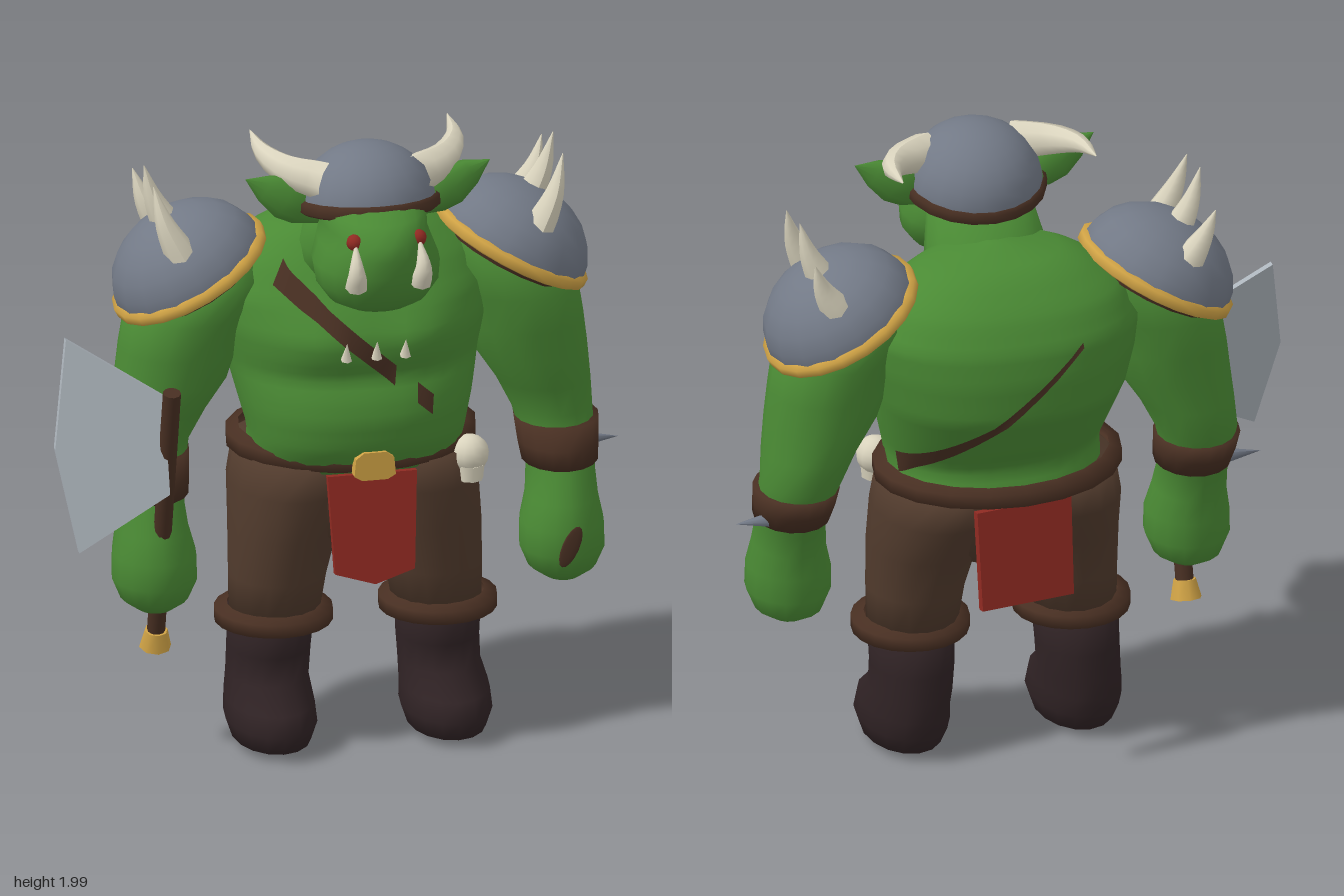
import * as THREE from 'three';

const MID = 0.07; // x of the body's mirror line
const mat = (name, color, side = THREE.FrontSide) => {
  const m = new THREE.MeshStandardMaterial({ color, side });
  m.name = name;
  return m;
};
const M = {
  skin: mat('green skin', 0x4a8a34),
  pants: mat('brown cloth', 0x503a2c),
  boots: mat('dark boot leather', 0x2f2224),
  leather: mat('strap leather', 0x482f22, THREE.DoubleSide),
  steel: mat('armour steel', 0x727986, THREE.DoubleSide),
  blade: mat('blade steel', 0xacb4bb),
  gold: mat('gold', 0xcfa245),
  red: mat('red cloth', 0x902a22),
  bone: mat('bone', 0xd9d3bd),
};

// Torso rings: y, half width, front z, back z
const TORSO = [
  [0.93, 0.33, 0.17, -0.33], [1.02, 0.335, 0.225, -0.3], [1.12, 0.36, 0.24, -0.37],
  [1.25, 0.39, 0.215, -0.45], [1.38, 0.42, 0.205, -0.46], [1.48, 0.43, 0.16, -0.45],
  [1.58, 0.38, 0.10, -0.40], [1.66, 0.27, 0.04, -0.32], [1.70, 0.17, 0, -0.25], [1.72, 0.03, -0.1, -0.14],
];

// Point on the torso, with chest and belly muscles
function torsoPoint(a, y, grow = 0) {
  let i = 0;
  while (i < TORSO.length - 2 && y > TORSO[i + 1][0]) i++;
  const A = TORSO[i], B = TORSO[i + 1];
  const t = THREE.MathUtils.clamp((y - A[0]) / (B[0] - A[0]), 0, 1);
  const [hw, f, b] = [1, 2, 3].map((k) => A[k] + (B[k] - A[k]) * t);
  const c = Math.cos(a), s = Math.sin(a);
  const x = (hw + grow) * Math.sign(s) * Math.abs(s) ** 0.88;
  let z = (f + b) / 2 + ((f - b) / 2 + grow) * Math.sign(c) * Math.abs(c) ** 0.88;
  if (c > 0) {
    const pec = Math.exp(-(((Math.abs(x) - 0.15) / 0.12) ** 2) - ((y - 1.39) / 0.1) ** 2);
    const fold = Math.exp(-(((y - 1.25) / 0.04) ** 2));
    z += c * (0.035 * pec - 0.018 * fold);
  }
  return [MID + x, y, z];
}

// Smooth closed skin over rows of points that run upwards
function skinRows(rows) {
  const n = rows[0].length, pos = rows.flat(2), idx = [];
  for (let i = 0; i < rows.length - 1; i++)
    for (let j = 0; j < n; j++) {
      const k = (j + 1) % n, a = i * n + j, b = i * n + k;
      idx.push(a, b, b + n, a, b + n, a + n);
    }
  [rows[0], rows[rows.length - 1]].forEach((r, e) => {
    const c = pos.length / 3, o = e * (rows.length - 1) * n;
    pos.push(...[0, 1, 2].map((q) => r.reduce((s, p) => s + p[q], 0) / n));
    for (let j = 0; j < n; j++) {
      const k = (j + 1) % n;
      idx.push(c, e ? o + j : o + k, e ? o + k : o + j);
    }
  });
  return surface(pos, idx);
}

function surface(pos, idx) {
  const g = new THREE.BufferGeometry();
  g.setAttribute('position', new THREE.Float32BufferAttribute(pos, 3));
  g.setIndex(idx);
  g.computeVertexNormals();
  return g;
}

// Loft over elliptical rings: y, offset from MID, half width, front z, back z
const loft = (rings, s = 1, n = 16) => skinRows(rings.map(([y, dx, rx, f, b]) =>
  Array.from({ length: n }, (_, j) => {
    const a = (j / n) * Math.PI * 2;
    return [MID + s * dx + rx * Math.sin(a), y, (f + b) / 2 + ((f - b) / 2) * Math.cos(a)];
  })));

// Piece of the diagonal chest strap, hugging the torso between two angles
function strapPiece(a0, a1, w0, w1) {
  const pos = [], idx = [], n = 16;
  for (let j = 0; j <= n; j++) {
    const t = j / n, a = a0 + (a1 - a0) * t, w = w0 + (w1 - w0) * t;
    let y = 1.4;
    for (let k = 0; k < 30; k++) y += 0.4 * (THREE.MathUtils.clamp(1.39 - 0.93 * torsoPoint(a, y)[0], 1, 1.64) - y);
    pos.push(...torsoPoint(a, y - w, 0.012), ...torsoPoint(a, y + w, 0.012));
    if (j < n) idx.push(2 * j, 2 * j + 2, 2 * j + 3, 2 * j, 2 * j + 3, 2 * j + 1);
  }
  return surface(pos, idx);
}

// Curved spike that tapers to a point
function horn(points, r) {
  const curve = new THREE.CatmullRomCurve3(points.map((p) => new THREE.Vector3(...p)));
  const n = 8, sides = 8, g = new THREE.TubeGeometry(curve, n, r, sides);
  const p = g.attributes.position, v = new THREE.Vector3();
  for (let i = 0; i < p.count; i++) {
    const t = Math.floor(i / (sides + 1)) / n, c = curve.getPointAt(t);
    v.fromBufferAttribute(p, i).sub(c).multiplyScalar(1 - 0.98 * t ** 1.3).add(c);
    p.setXYZ(i, v.x, v.y, v.z);
  }
  g.computeVertexNormals();
  return g;
}

function plate(points, depth) {
  const shape = new THREE.Shape(points.map((p) => new THREE.Vector2(...p)));
  return new THREE.ExtrudeGeometry(shape, { depth, bevelEnabled: false }).translate(0, 0, -depth / 2);
}

const lathe = (points, n) => new THREE.LatheGeometry(points.map((p) => new THREE.Vector2(...p)), n);
const band = (w, h, t) => lathe([[w - t, -h], [w, -h * 0.6], [w, h * 0.6], [w - t, h]], 20);

export function createModel() {
  const root = new THREE.Group();
  root.name = 'armouredBrute';
  const add = (name, geo, m, pos = [0, 0, 0], rot = [0, 0, 0], parent = root) => {
    const mesh = new THREE.Mesh(geo, m);
    mesh.name = name;
    mesh.position.set(...pos);
    mesh.rotation.set(...rot);
    parent.add(mesh);
  };
  const group = (name, pos, rx, rz) => {
    const g = new THREE.Group();
    g.name = name;
    g.position.set(...pos);
    g.rotation.set(rx, 0, rz);
    root.add(g);
    return g;
  };
  const O = [0, 0, 0];

  // Torso, neck and head
  const rows = [];
  for (let y = 0.93; y < 1.721; y += 0.0263)
    rows.push(Array.from({ length: 32 }, (_, j) => torsoPoint((j / 32) * Math.PI * 2, y)));
  add('torso', skinRows(rows), M.skin);
  add('neck', loft([[1.5, 0, 0.22, 0.13, -0.25], [1.64, 0, 0.19, 0.2, -0.2], [1.78, 0, 0.16, 0.22, -0.06]]), M.skin);
  add('head', loft([
    [1.53, 0, 0.09, 0.35, 0.22], [1.555, 0, 0.15, 0.39, 0.14], [1.61, 0, 0.19, 0.435, 0.07], [1.67, 0, 0.197, 0.45, 0.02],
    [1.73, 0, 0.175, 0.46, -0.02], [1.78, 0, 0.158, 0.455, -0.04], [1.83, 0, 0.165, 0.41, -0.05], [1.88, 0, 0.14, 0.28, -0.03],
  ], 1, 20), M.skin);

  // Helmet
  const helmet = group('helmet', [MID, 1.81, 0.125], -0.17, 0);
  add('helmetDome', new THREE.SphereGeometry(0.212, 18, 8, 0, Math.PI * 2, 0, Math.PI / 2).scale(1, 0.89, 1), M.steel, O, O, helmet);
  add('helmetBand', band(0.224, 0.022, 0.012), M.leather, O, O, helmet);

  // Trousers, belt and buckle
  add('pelvis', loft([[0.63, 0, 0.12, 0.04, -0.16], [0.7, 0, 0.27, 0.11, -0.24], [0.82, 0, 0.35, 0.15, -0.33], [0.96, 0, 0.36, 0.17, -0.35]], 1, 20), M.pants);
  add('belt', band(1, 0.036, 0.1).scale(0.39, 1, 0.31), M.leather, [MID, 0.968, -0.11]);
  add('buckle', plate([[-0.065, -0.03], [-0.04, -0.045], [0.04, -0.045], [0.065, -0.03], [0.06, 0.025], [0.035, 0.045], [-0.035, 0.045], [-0.06, 0.025]], 0.04), M.gold, [MID, 0.975, 0.212]);

  // Hanging cloths
  add('frontCloth', plate([[-0.14, 0], [-0.125, -0.31], [0, -0.35], [0.125, -0.31], [0.14, 0]], 0.026), M.red, [MID, 0.935, 0.18], [-0.13, 0, 0]);
  add('backCloth', plate([[-0.16, 0], [-0.155, -0.32], [0.155, -0.32], [0.16, 0]], 0.026), M.red, [MID, 0.935, -0.372], [0.13, 0.15, 0]);

  // Skull charm on the belt
  add('skullCharm', new THREE.SphereGeometry(0.06, 12, 10), M.bone, [0.4, 0.935, 0.085]);
  add('skullJaw', new THREE.CylinderGeometry(0.045, 0.04, 0.05, 8), M.bone, [0.4, 0.88, 0.095]);

  // Chest strap, sinking into the body between its visible pieces
  add('chestStrap', strapPiece(-0.72, 0.13, 0.035, 0.035), M.leather);
  add('chestStrapEnd', strapPiece(0.31, 0.46, 0.03, 0.03), M.leather);
  add('backStrap', strapPiece(1.9, 3.5, 0.038, 0.008), M.leather);
  for (const x of [-0.02, 0.075, 0.165])
    add('toothCharm', new THREE.ConeGeometry(0.018, 0.06, 6), M.bone, [x, 1.36, 0.235], [0.2, 0, 0]);

  for (const s of [1, -1]) {
    const side = s > 0 ? 'left' : 'right';
    const X = (dx) => MID + s * dx;

    // Legs
    add(side + 'Leg', loft([[0.42, 0.255, 0.14, 0.1, -0.2], [0.55, 0.245, 0.152, 0.11, -0.21], [0.7, 0.225, 0.17, 0.14, -0.26], [0.84, 0.2, 0.19, 0.155, -0.335], [0.95, 0.18, 0.19, 0.16, -0.35]], s), M.pants);
    add(side + 'BootCuff', band(0.183, 0.034, 0.04), M.leather, [X(0.258), 0.417, -0.043]);
    add(side + 'Boot', loft([
      [0.005, 0.275, 0.07, 0.1, -0.13], [0.03, 0.275, 0.12, 0.18, -0.19], [0.09, 0.275, 0.14, 0.205, -0.225], [0.15, 0.275, 0.136, 0.18, -0.235],
      [0.21, 0.27, 0.127, 0.075, -0.235], [0.3, 0.265, 0.129, 0.07, -0.232], [0.43, 0.262, 0.133, 0.1, -0.22],
    ], s), M.boots);

    // Arm and hand
    add(side + 'Arm', loft([
      [0.48, 0.64, 0.055, 0.06, -0.07], [0.515, 0.64, 0.105, 0.11, -0.13], [0.58, 0.64, 0.132, 0.14, -0.155], [0.66, 0.64, 0.13, 0.135, -0.155],
      [0.74, 0.643, 0.112, 0.115, -0.165], [0.82, 0.645, 0.106, 0.08, -0.18], [0.92, 0.643, 0.116, 0.04, -0.22], [1.0, 0.634, 0.126, 0.015, -0.265],
      [1.1, 0.605, 0.147, 0.045, -0.275], [1.2, 0.567, 0.175, 0.065, -0.28], [1.3, 0.545, 0.185, 0.075, -0.29], [1.42, 0.52, 0.19, 0.095, -0.3],
      [1.53, 0.44, 0.17, 0.07, -0.29], [1.62, 0.37, 0.08, -0.03, -0.2],
    ], s), M.skin);
    add(side + 'Bracer', loft([[0.845, 0.643, 0.118, 0.085, -0.195], [0.9, 0.643, 0.126, 0.065, -0.225], [0.968, 0.643, 0.132, 0.045, -0.255]], s), M.leather);
    add(side + 'BracerSpike', new THREE.ConeGeometry(0.024, 0.11, 8), M.steel, [X(0.788), 0.868, -0.12], [0, 0, -s * Math.PI / 2]);

    // Shoulder armour
    const pad = group(side + 'ShoulderArmour', [X(0.505), 1.535, -0.12], 0, -s * 0.507);
    add('shoulderDome', new THREE.SphereGeometry(0.25, 16, 6, 0, Math.PI * 2, 0, Math.PI / 2).scale(1, 0.8, 1), M.steel, O, O, pad);
    add('shoulderRim', band(0.262, 0.022, 0.02), M.gold, O, O, pad);
    add('shoulderLining', new THREE.CylinderGeometry(0.235, 0.215, 0.035, 16, 1, true), M.leather, [0, -0.02, 0], O, pad);
    for (const [y, z, tz, ty] of [[1.645, 0.03, -0.005, 1.86], [1.67, -0.14, -0.14, 1.88], [1.64, -0.27, -0.3, 1.81]])
      add('shoulderSpike', horn([[X(0.555), y - 0.02, z], [X(0.612), (y + ty) / 2 - 0.01, z * 0.7 + tz * 0.3], [X(0.643), ty, tz]], 0.052), M.bone);

    // Face and horns
    add(side + 'Eye', new THREE.SphereGeometry(0.026, 10, 8), M.red, [X(0.1), 1.78, 0.388]);
    add(side + 'Tusk', horn([[X(0.1), 1.645, 0.415], [X(0.105), 1.7, 0.44], [X(0.1), 1.785, 0.4]], 0.036), M.bone);
    add(side + 'Ear', lathe([[0.03, 0], [0.065, 0.08], [0.07, 0.14], [0.045, 0.21], [0, 0.28]], 10).scale(1, 1, 0.6),
      M.skin, [X(0.14), 1.775, 0.125], [0, 0, -s * 1.06]);
    add(side + 'Horn', horn([[X(0.14), 1.9, 0.17], [X(0.245), 1.92, 0.1], [X(0.3), 1.945, 0], [X(0.31), 1.967, -0.14]], 0.064), M.bone);
  }

  // Mark on the left hand
  add('handPatch', new THREE.SphereGeometry(0.5, 10, 8).scale(0.055, 0.14, 0.009), M.leather, [0.705, 0.62, 0.141], [0, 0, -0.4]);

  // Axe held in the right hand
  const axe = group('axe', [-0.565, 0.81, 0.1], 0.25, 0);
  add('axeHandle', new THREE.CylinderGeometry(0.028, 0.028, 0.94, 10), M.leather, O, O, axe);
  add('axePommel', new THREE.CylinderGeometry(0.036, 0.05, 0.06, 8), M.gold, [0, -0.45, 0], O, axe);
  const bladeGeo = plate([[-0.57, 0.93], [-0.57, 1.22], [-0.865, 1.41], [-0.92, 1.09], [-0.865, 0.78]], 0.022);
  const bp = bladeGeo.attributes.position;
  for (let i = 0; i < bp.count; i++) bp.setZ(i, bp.getZ(i) + 0.155 - 0.3 * (bp.getY(i) - 1.09));
  bladeGeo.computeVertexNormals();
  add('axeBlade', bladeGeo, M.blade);

  return root;
}
